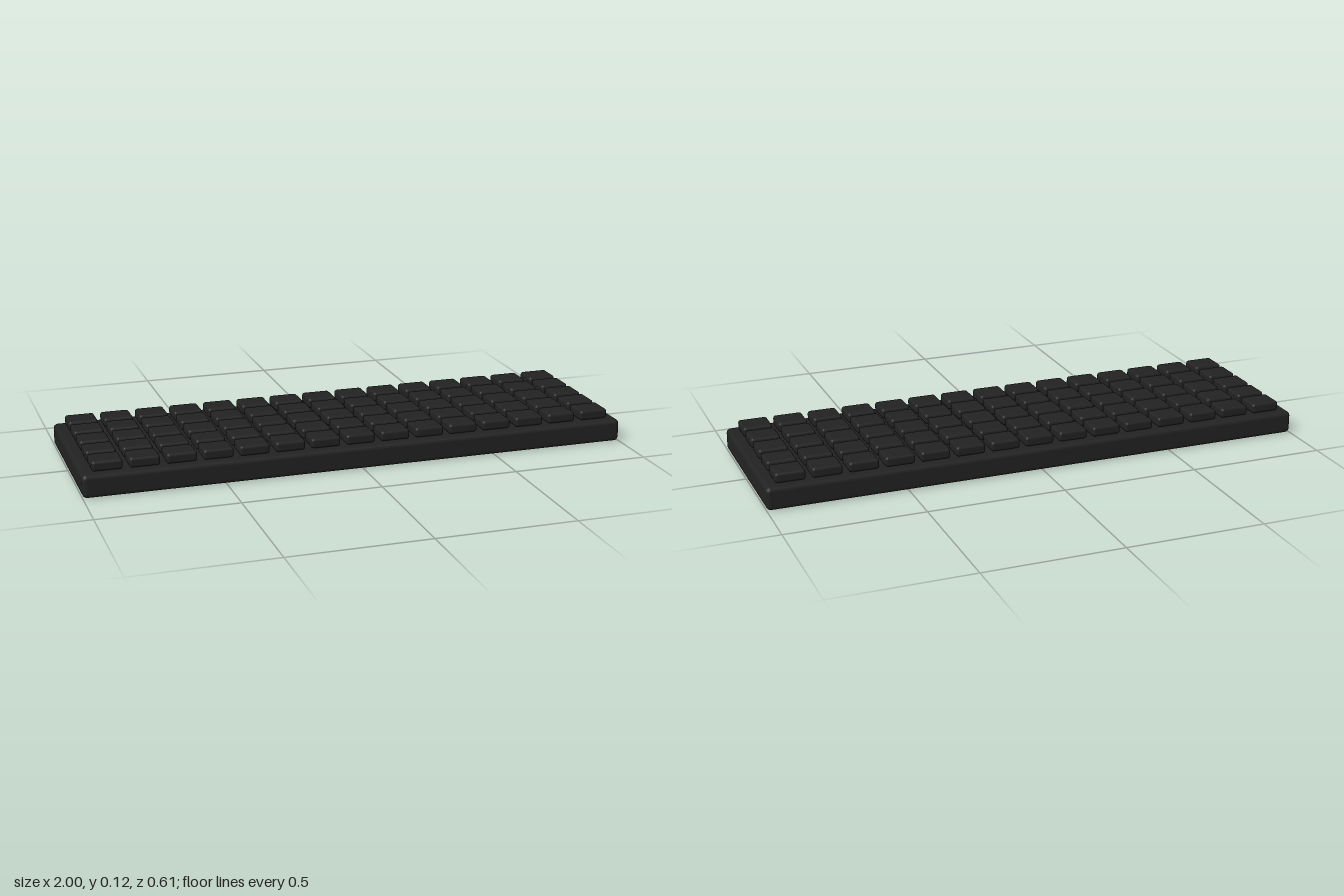
import * as THREE from 'three';
import { RoundedBoxGeometry } from 'three/addons/geometries/RoundedBoxGeometry.js';

export function createModel() {
  const model = new THREE.Group();
  model.name = 'keyboard';

  const blackPlastic = new THREE.MeshStandardMaterial({ color: 0x222222 });
  blackPlastic.name = 'blackPlastic';

  // Slab-shaped case with softened edges
  const caseHeight = 0.082;
  const body = new THREE.Mesh(new RoundedBoxGeometry(2, caseHeight, 0.613, 2, 0.016), blackPlastic);
  body.name = 'case';
  body.position.y = caseHeight / 2;
  model.add(body);

  // Grid of identical keycaps resting on the case
  const columns = 15, rows = 5;
  const pitchX = 0.1296, pitchZ = 0.114;
  const keyHeight = 0.036;
  const keyGeometry = new RoundedBoxGeometry(0.107, keyHeight, 0.095, 2, 0.01);
  const keys = new THREE.Group();
  keys.name = 'keys';
  for (let r = 0; r < rows; r++) {
    for (let c = 0; c < columns; c++) {
      const key = new THREE.Mesh(keyGeometry, blackPlastic);
      key.name = `keyRow${r + 1}Column${c + 1}`;
      key.position.set(
        (c - (columns - 1) / 2) * pitchX,
        caseHeight + 0.001 + keyHeight / 2,
        (r - (rows - 1) / 2) * pitchZ
      );
      keys.add(key);
    }
  }
  model.add(keys);

  return model;
}
